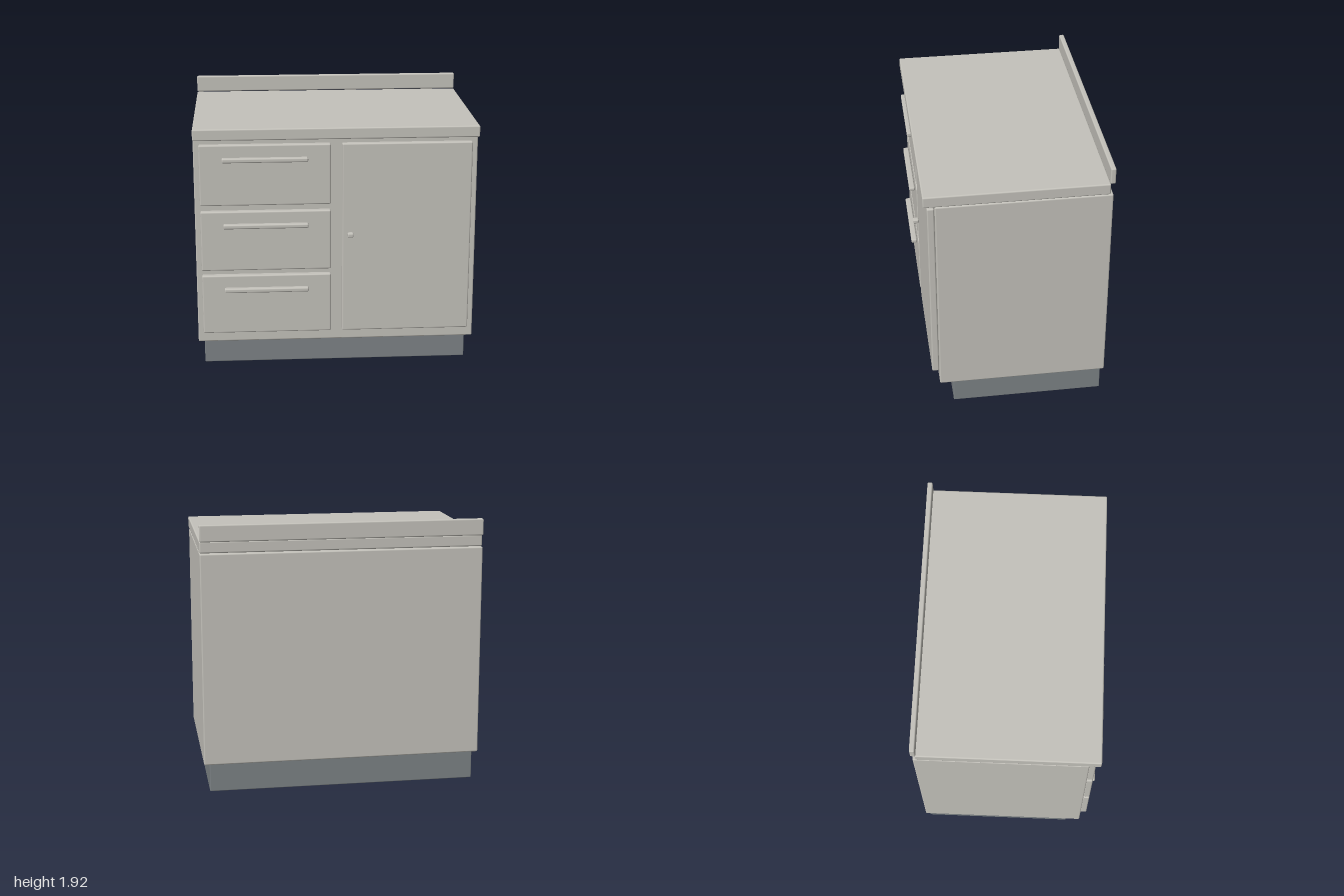
import * as THREE from 'three';
import { RoundedBoxGeometry } from 'three/addons/geometries/RoundedBoxGeometry.js';

export function createModel() {
  const cabinet = new THREE.Group();
  cabinet.name = 'cabinet';

  const paint = new THREE.MeshStandardMaterial({ color: 0xc4c2bb });
  paint.name = 'warm grey';
  const dark = new THREE.MeshStandardMaterial({ color: 0x7d8386 });
  dark.name = 'slate grey';

  // Soft-edged box given by its extents on each axis
  function block(name, [x0, x1], [y0, y1], [z0, z1], material = paint, bevel = 0.01) {
    const geometry = new RoundedBoxGeometry(x1 - x0, y1 - y0, z1 - z0, 2, bevel);
    const mesh = new THREE.Mesh(geometry, material);
    mesh.name = name;
    mesh.position.set((x0 + x1) / 2, (y0 + y1) / 2, (z0 + z1) / 2);
    cabinet.add(mesh);
  }

  // Recessed plinth, carcass, worktop and the upstand behind it
  block('plinth', [-0.96, 0.96], [0, 0.205], [-0.62, 0.46], dark, 0.006);
  block('carcass', [-1, 1], [0.203, 1.72], [-0.64, 0.56]);
  block('worktop', [-1, 1], [1.722, 1.803], [-0.62, 0.64]);
  block('upstand', [-1, 1], [1.803, 1.922], [-0.65, -0.613]);

  // Front panels stand proud of the carcass, handles stand proud of the panels
  const panelZ = [0.56, 0.61];
  const handleZ = [0.61, 0.653];

  // Three drawers, bottom to top, each with a bar handle
  [[0.287, 0.622], [0.763, 1.1], [1.245, 1.58]].forEach(([bottom, handleY]) => {
    block('drawer', [-0.96, -0.04], [bottom, bottom + 0.437], panelZ);
    block('drawerHandle', [-0.8, -0.2], [handleY - 0.016, handleY + 0.016], handleZ);
  });

  // Door with a small knob
  block('door', [0.04, 0.957], [0.287, 1.682], panelZ);
  block('doorKnob', [0.077, 0.119], [1.005, 1.037], handleZ);

  return cabinet;
}
